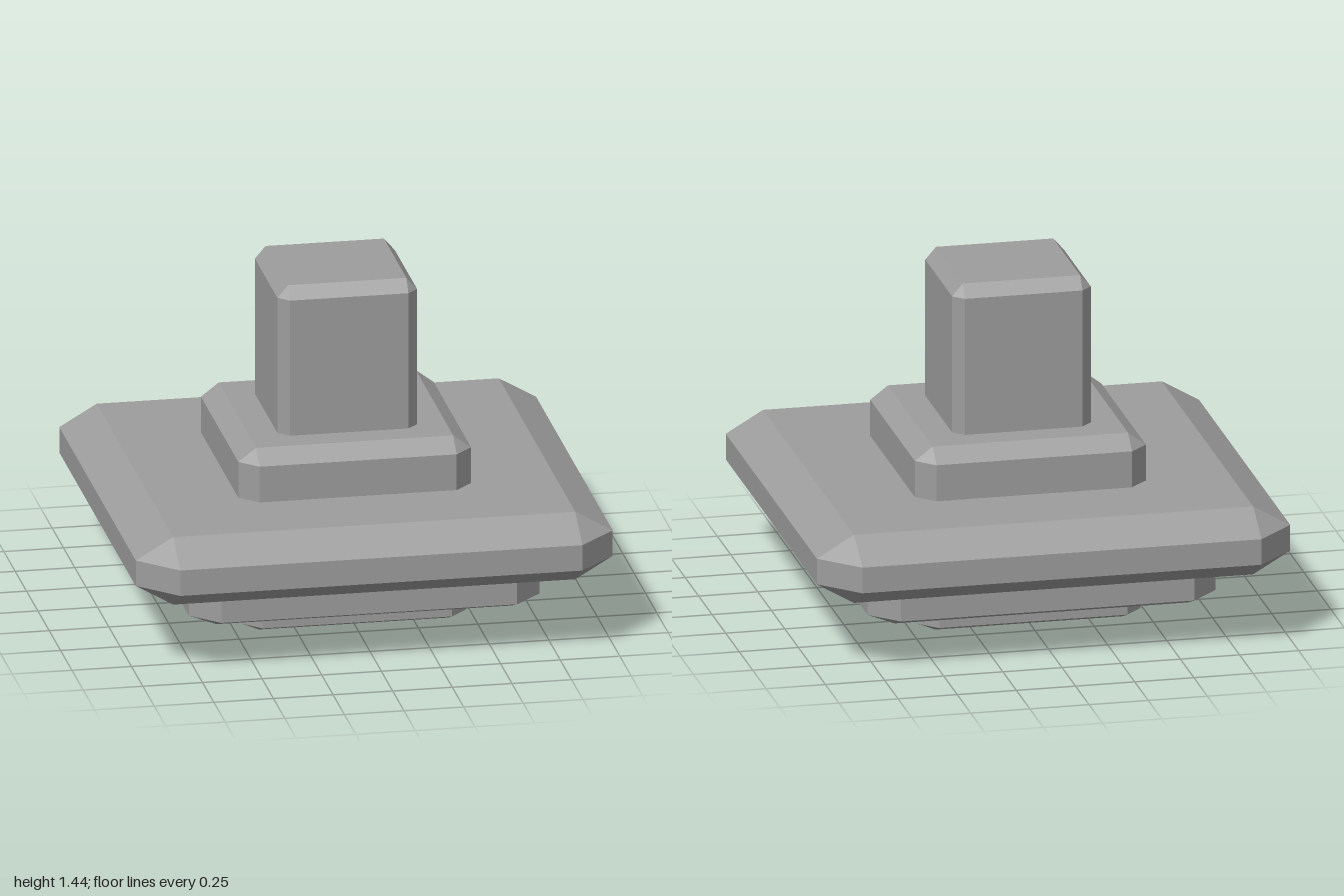
import * as THREE from 'three';
import { ConvexGeometry } from 'three/addons/geometries/ConvexGeometry.js';

const material = new THREE.MeshStandardMaterial({ color: 0x9d9d9d, flatShading: true });

// Square block with chamfered edges and triangular corners.
// half: outer half width, inner: half width of the flat faces,
// y0..y3: bottom face, lower chamfer end, upper chamfer start, top face.
function chamferedBlock(name, half, inner, [y0, y1, y2, y3]) {
  const points = [];
  for (const sx of [-1, 1]) {
    for (const sz of [-1, 1]) {
      for (const y of [y0, y3]) points.push(new THREE.Vector3(sx * inner, y, sz * inner));
      for (const y of [y1, y2]) {
        points.push(new THREE.Vector3(sx * half, y, sz * inner));
        points.push(new THREE.Vector3(sx * inner, y, sz * half));
      }
    }
  }
  const mesh = new THREE.Mesh(new ConvexGeometry(points), material);
  mesh.name = name;
  return mesh;
}

export function createModel() {
  const group = new THREE.Group();
  group.name = 'steppedPedestal';
  group.add(
    // Stepped underside; upper chamfers are buried in the block above
    chamferedBlock('foot', 0.47, 0.397, [0, 0.03, 0.13, 0.16]),
    chamferedBlock('lowerStep', 0.735, 0.62, [0.115, 0.16, 0.32, 0.363]),
    // Wide middle slab
    chamferedBlock('slab', 1, 0.843, [0.292, 0.384, 0.495, 0.587]),
    // Collar and post; lower chamfers are buried in the block below
    chamferedBlock('collar', 0.488, 0.413, [0.5, 0.555, 0.743, 0.8]),
    chamferedBlock('post', 0.293, 0.248, [0.72, 0.77, 1.39, 1.442])
  );
  return group;
}
